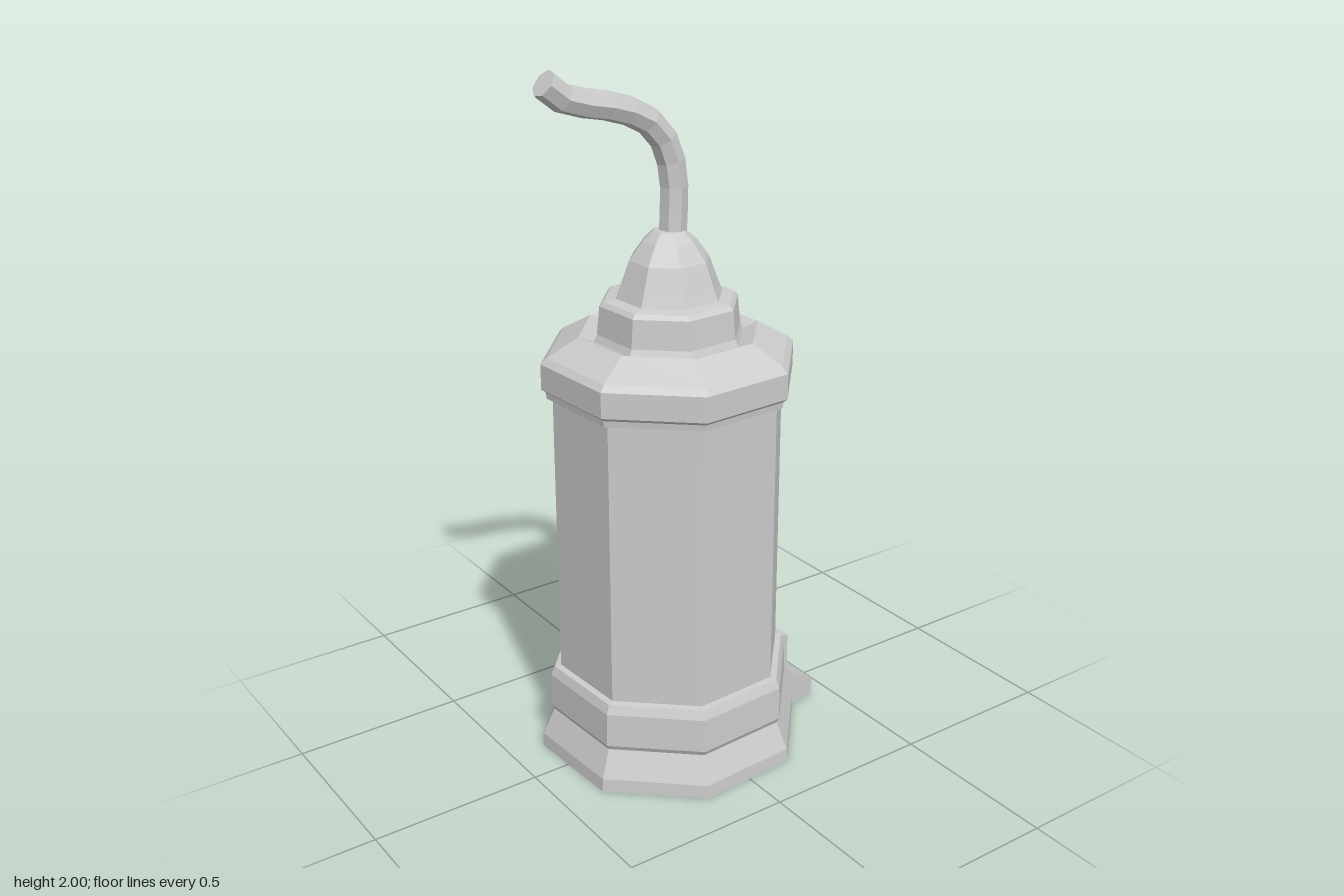
import * as THREE from 'three';

const SIDES = 8;
const TURN = THREE.MathUtils.degToRad(25.7); // corner offset of the octagon
const AXIS_Z = 0.025; // the body axis sits slightly forward

const material = new THREE.MeshStandardMaterial({
  color: 0xcccccc, flatShading: true, side: THREE.DoubleSide,
});

export function createModel() {
  const group = new THREE.Group();

  function add(name, geometry, z = 0) {
    const mesh = new THREE.Mesh(geometry, material);
    mesh.name = name;
    mesh.position.z = z;
    group.add(mesh);
    return mesh;
  }

  // Octagonal shell from [radius, height] pairs
  function octagon(name, profile) {
    const points = profile.map(([r, y]) => new THREE.Vector2(r, y));
    return add(name, new THREE.LatheGeometry(points, SIDES, TURN), AXIS_Z);
  }

  // Hollow flared foot with a band above it and a ceiling inside
  octagon('foot', [[0.392, 0], [0.39, 0.04], [0.355, 0.12]]);
  octagon('lowerBand', [[0.355, 0.12], [0.363, 0.135], [0.361, 0.235], [0.35, 0.262], [0.33, 0.265]]);
  octagon('footCeiling', [[0, 0.24], [0.345, 0.24]]);

  // Straight barrel
  octagon('barrel', [[0.331, 0.25], [0.331, 1.11]]);

  // Overhanging lid with a chamfered top
  octagon('lid', [
    [0.325, 1.1], [0.348, 1.1], [0.35, 1.118], [0.362, 1.128],
    [0.362, 1.2], [0.345, 1.217], [0.255, 1.268], [0.21, 1.25],
  ]);

  // Collar and domed cap
  octagon('collar', [[0.22, 1.235], [0.204, 1.27], [0.196, 1.35], [0.185, 1.362], [0.15, 1.368]]);
  octagon('dome', [[0.152, 1.365], [0.14, 1.395], [0.112, 1.47], [0.075, 1.52], [0.045, 1.548], [0, 1.55]]);

  // Bent spout leaning to the front
  const path = new THREE.CatmullRomCurve3([
    [0, 1.53, 0.015], [0, 1.69, 0.012], [0, 1.79, 0.04], [0, 1.855, 0.1],
    [0, 1.9, 0.22], [0, 1.925, 0.335], [0, 1.973, 0.4],
  ].map((p) => new THREE.Vector3(...p)), false, 'centripetal');
  add('spout', new THREE.TubeGeometry(path, 10, 0.039, 7, false));

  // Closed spout tip
  const tip = add('spoutTip', new THREE.CircleGeometry(0.039, 7));
  const end = path.getPointAt(1);
  tip.position.copy(end);
  tip.lookAt(end.clone().add(path.getTangentAt(1)));

  // Sloped step at the back, drawn as a side profile (depth, height)
  const side = new THREE.Shape([
    [0.32, 0], [0.43, 0], [0.43, 0.06], [0.325, 0.125],
    [0.325, 0.25], [0.29, 0.257], [0.298, 0.13],
  ].map(([d, y]) => new THREE.Vector2(d, y)));
  const width = 0.295;
  const step = new THREE.ExtrudeGeometry(side, { depth: width, bevelEnabled: false });
  step.translate(0, 0, -width / 2);
  step.rotateY(Math.PI / 2 + 0.03);
  step.translate(-0.02, 0, 0);
  add('backStep', step);

  return group;
}
